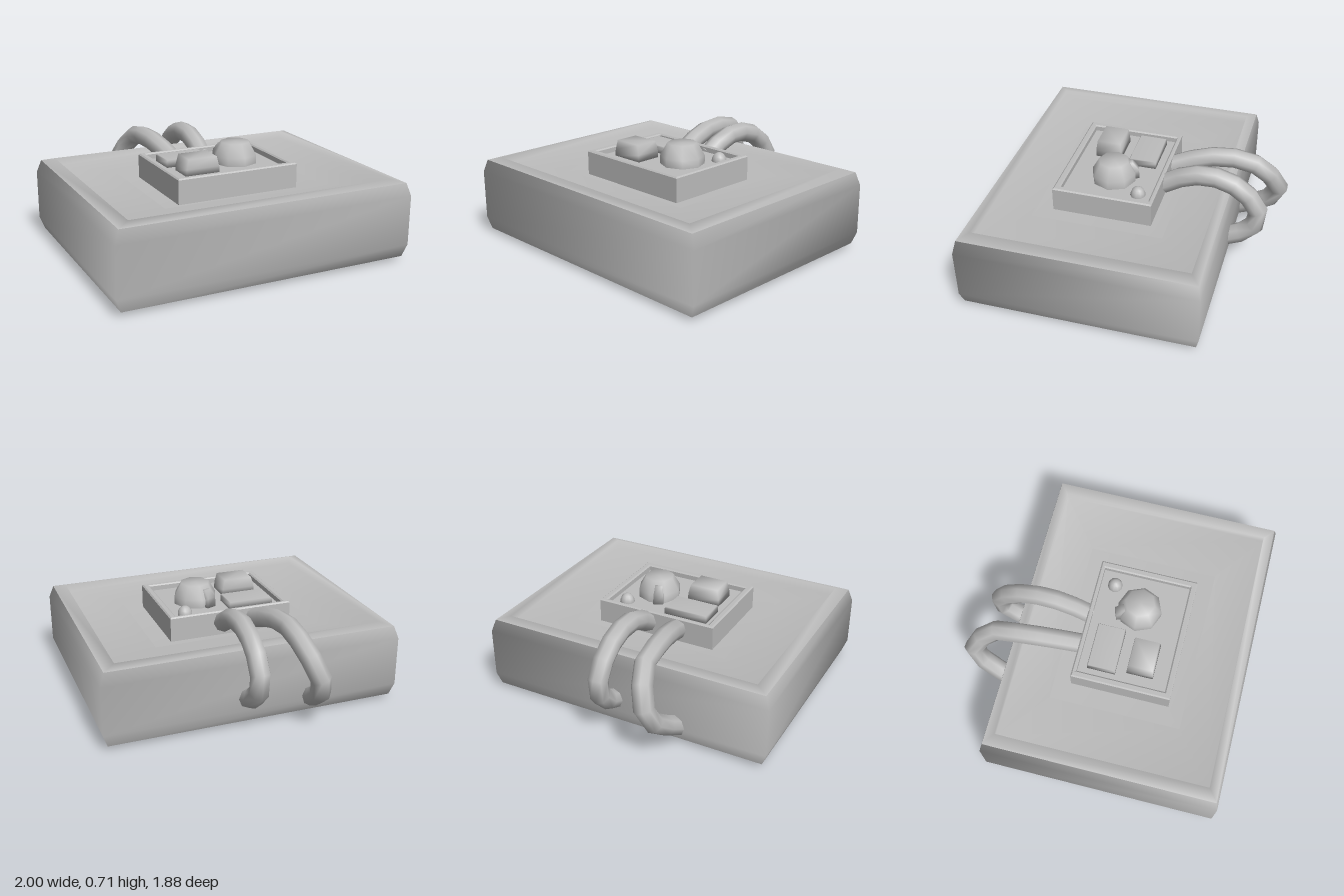
import * as THREE from 'three';

const grey = new THREE.MeshStandardMaterial({ color: 0xbcbcbc });
grey.name = 'grey';

// Smooth-shaded stack of rectangles [halfX, halfZ, y, zShift], with optional end caps
function loftRects(rings, bottom = true, top = true) {
  const pos = [], idx = [];
  for (const [hx, hz, y, dz = 0] of rings) {
    pos.push(-hx, y, hz + dz, hx, y, hz + dz, hx, y, -hz + dz, -hx, y, -hz + dz);
  }
  for (let r = 0; r < rings.length - 1; r++) {
    for (let i = 0; i < 4; i++) {
      const a = r * 4 + i, b = r * 4 + (i + 1) % 4;
      idx.push(a, b, b + 4, a, b + 4, a + 4);
    }
  }
  const t = (rings.length - 1) * 4;
  if (top) idx.push(t, t + 1, t + 2, t, t + 2, t + 3);
  if (bottom) idx.push(0, 2, 1, 0, 3, 2);
  const g = new THREE.BufferGeometry();
  g.setAttribute('position', new THREE.Float32BufferAttribute(pos, 3));
  g.setIndex(idx);
  g.computeVertexNormals();
  return g;
}

function rectPath(path, x0, x1, z0, z1) {
  path.moveTo(x0, -z1);
  path.lineTo(x1, -z1);
  path.lineTo(x1, -z0);
  path.lineTo(x0, -z0);
  path.closePath();
  return path;
}

export function createModel() {
  const group = new THREE.Group();
  const add = (name, geometry, x = 0, y = 0, z = 0) => {
    const mesh = new THREE.Mesh(geometry, grey);
    mesh.name = name;
    mesh.position.set(x, y, z);
    group.add(mesh);
    return mesh;
  };

  // Thick body: bevelled base, bulging sides, and a top stepping down to the panel
  add('bodyBase', loftRects([[0.89, 0.7, 0], [0.97, 0.762, 0.028]], true, false), 0, 0, 0.157);
  add('bodySides', loftRects([
    [0.97, 0.762, 0.028], [1, 0.78, 0.11], [1, 0.78, 0.44], [0.97, 0.762, 0.525],
  ], false, false), 0, 0, 0.157);
  add('bodyTop', loftRects([
    [0.97, 0.762, 0.525], [0.89, 0.7, 0.545], [0.89, 0.7, 0.49],
    [0.555, 0.435, 0.48], [0.555, 0.435, 0.45],
  ], false, true), 0, 0, 0.157);

  // Control panel: tall raised rim around a sunken floor
  const rim = rectPath(new THREE.Shape(), -0.41, 0.41, -0.16, 0.48);
  rim.holes.push(rectPath(new THREE.Path(), -0.383, 0.383, -0.148, 0.455));
  const rimGeo = new THREE.ExtrudeGeometry(rim, {
    depth: 0.17, bevelEnabled: true, bevelThickness: 0.008, bevelSize: 0.009, bevelSegments: 1,
  });
  rimGeo.rotateX(-Math.PI / 2);
  add('panelRim', rimGeo, 0, 0.437, 0);
  add('panelFloor', new THREE.BoxGeometry(0.79, 0.04, 0.62), 0, 0.555, 0.155);

  // Display block and rocker switch
  add('display', loftRects([[0.152, 0.093, 0], [0.152, 0.093, 0.04], [0.146, 0.087, 0.05]]),
    -0.177, 0.574, 0.012);
  add('rocker', loftRects([[0.115, 0.088, 0], [0.113, 0.087, 0.045], [0.098, 0.08, 0.11]]),
    -0.185, 0.575, 0.262);

  // Eight-sided dial with a pointer
  const profile = [[0.146, 0], [0.146, 0.055], [0.098, 0.14], [0, 0.14]];
  add('dial', new THREE.LatheGeometry(profile.map((q) => new THREE.Vector2(...q)), 8),
    0.14, 0.575, 0.157);
  const pointer = add('dialPointer',
    loftRects([[0.034, 0.05, 0], [0.032, 0.05, 0.065], [0.024, 0.03, 0.115, 0.02]]),
    0.092, 0.575, 0.055);
  pointer.rotation.y = 0.4;

  // Indicator lamp
  const lamp = new THREE.SphereGeometry(0.05, 10, 5, 0, Math.PI * 2, 0, Math.PI / 2);
  lamp.scale(1, 1.2, 1);
  add('lamp', lamp, 0.28, 0.575, -0.045);

  // Two cables looping from the panel into the back of the body
  const cable = (name, points) => {
    const curve = new THREE.CatmullRomCurve3(points.map((q) => new THREE.Vector3(...q)));
    add(name, new THREE.TubeGeometry(curve, 9, 0.067, 8));
  };
  cable('rightCable', [
    [-0.16, 0.535, -0.165], [-0.2, 0.61, -0.38], [-0.223, 0.625, -0.57], [-0.23, 0.595, -0.72],
    [-0.275, 0.48, -0.835], [-0.315, 0.37, -0.88], [-0.345, 0.25, -0.81], [-0.39, 0.11, -0.58],
  ]);
  cable('leftCable', [
    [0.057, 0.535, -0.165], [0.057, 0.63, -0.34], [0.057, 0.64, -0.54], [0.057, 0.55, -0.715],
    [0.057, 0.39, -0.805], [0.057, 0.26, -0.735], [0.057, 0.18, -0.58],
  ]);

  return group;
}
